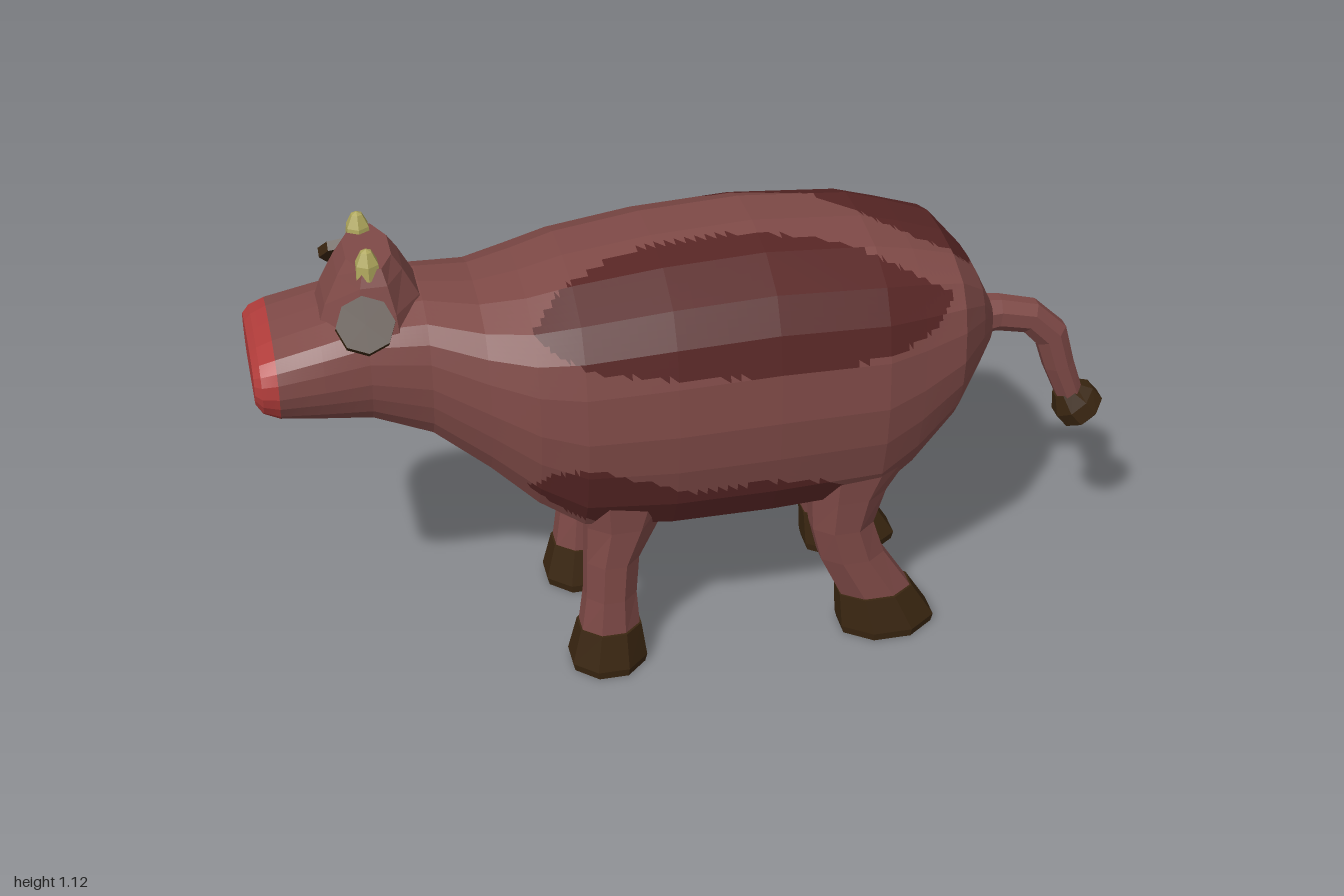
import * as THREE from 'three';

const V = (x, y, z) => new THREE.Vector3(x, y, z);

// piecewise-linear curve through [x, value] points
function along(pts, x) {
  if (x <= pts[0][0]) return pts[0][1];
  for (let i = 1; i < pts.length; i++) {
    const [x0, v0] = pts[i - 1], [x1, v1] = pts[i];
    if (x <= x1) return v0 + (v1 - v0) * (x - x0) / (x1 - x0);
  }
  return pts[pts.length - 1][1];
}

// closed, capped skin over rings; each facet is cut su x sv and sorted into material slots
function loft(rings, su = 1, sv = 1, slotOf = () => 0, slots = 1) {
  const out = Array.from({ length: slots }, () => []);
  const n = rings[0].length;
  const tri = (a, b, c) => {
    const m = a.clone().add(b).add(c).divideScalar(3);
    out[slotOf(m)].push(a.x, a.y, a.z, b.x, b.y, b.z, c.x, c.y, c.z);
  };
  for (let i = 0; i < rings.length - 1; i++) for (let j = 0; j < n; j++) {
    const k = (j + 1) % n;
    const at = (u, v) => rings[i][j].clone().lerp(rings[i + 1][j], u)
      .lerp(rings[i][k].clone().lerp(rings[i + 1][k], u), v);
    for (let p = 0; p < su; p++) for (let q = 0; q < sv; q++) {
      const a = at(p / su, q / sv), b = at((p + 1) / su, q / sv);
      const c = at(p / su, (q + 1) / sv), d = at((p + 1) / su, (q + 1) / sv);
      tri(a, b, c);
      tri(b, d, c);
    }
  }
  [rings[0], rings[rings.length - 1]].forEach((r, end) => {
    const mid = r.reduce((s, p) => s.add(p), V(0, 0, 0)).divideScalar(n);
    r.forEach((p, j) => end ? tri(mid, r[(j + 1) % n], p) : tri(mid, p, r[(j + 1) % n]));
  });
  const g = new THREE.BufferGeometry();
  g.setAttribute('position', new THREE.Float32BufferAttribute(out.flat(), 3));
  let start = 0;
  out.forEach((s, i) => { g.addGroup(start, s.length / 3, i); start += s.length / 3; });
  g.computeVertexNormals();
  return g;
}

// tube of eight-sided rings: [x, y, z, in-plane radius, z radius, heading in the xy plane]
const limb = nodes => loft(nodes.map(([x, y, z, r, rz, t]) =>
  Array.from({ length: 8 }, (_, i) => {
    const a = (i + 0.5) * Math.PI / 4, c = Math.cos(a) * r * 1.06;
    return V(x - Math.sin(t) * c, y + Math.cos(t) * c, z - Math.sin(a) * rz * 1.06);
  })));

// body stations: [x, bottom, top, half width]
const STATIONS = [
  [-1, 0.78, 0.89, 0.15], [-0.985, 0.76, 0.905, 0.165], [-0.95, 0.745, 0.92, 0.172],
  [-0.85, 0.73, 0.945, 0.17], [-0.75, 0.715, 0.97, 0.165], [-0.62, 0.66, 0.98, 0.175],
  [-0.5, 0.565, 0.965, 0.215], [-0.4, 0.475, 0.98, 0.26], [-0.3, 0.41, 1.005, 0.285],
  [-0.1, 0.393, 1.03, 0.3], [0.13, 0.393, 1.04, 0.302], [0.38, 0.4, 1.02, 0.292],
  [0.47, 0.46, 0.995, 0.265], [0.57, 0.565, 0.96, 0.235], [0.64, 0.645, 0.88, 0.15],
  [0.69, 0.67, 0.775, 0.06],
];
// half cross-section: [width share, height share] from belly to back
const PROFILE = [[0, 0], [0.72, 0.015], [0.87, 0.14], [0.96, 0.3], [1, 0.46],
  [0.98, 0.65], [0.92, 0.79], [0.78, 0.91], [0.43, 0.985], [0, 1]];
const FULL = [...PROFILE, ...PROFILE.slice(1, -1).reverse().map(([w, h]) => [-w, h])];

// outlines of the coat patches
const UPPER_LOW = [[-0.42, 0.95], [-0.36, 0.9], [-0.28, 0.86], [-0.15, 0.835], [0, 0.82], [0.27, 0.81],
  [0.42, 0.825], [0.5, 0.855], [0.57, 0.95]];
const UPPER_IN = [[-0.42, 0.22], [-0.34, 0.13], [-0.2, 0.05], [-0.08, 0.035], [0.05, 0.035],
  [0.28, 0.09], [0.38, 0.15], [0.5, 0.2]];
const LOWER_HIGH = [[-0.43, 0.55], [-0.37, 0.6], [-0.28, 0.61], [-0.18, 0.565], [-0.05, 0.51],
  [0.1, 0.52], [0.25, 0.49], [0.4, 0.4]];
const LOWER_LOW = [[-0.43, 0.55], [-0.36, 0.48], [-0.28, 0.43], [-0.2, 0.38]];
const FAR_IN = [[-0.36, -0.3], [-0.3, -0.24], [0.03, -0.235], [0.17, -0.2], [0.28, -0.14],
  [0.4, 0], [0.48, 0.055], [0.56, 0.085], [0.66, 0.09]];
const FAR_FRONT = [[0.4, -0.24], [0.5, -0.33], [0.65, -0.37], [0.85, -0.34], [1, -0.3]];
const RUMP_LOW = [[-0.2, 0.86], [-0.13, 0.83], [-0.05, 0.84], [0.06, 0.9], [0.1, 0.95]];

function coat({ x, y, z }) {
  if (x < -0.95) return 2;
  const upper = x > -0.42 && x < 0.57 && y > along(UPPER_LOW, x) && z > along(UPPER_IN, x);
  const lower = z > 0.14 && x > -0.43 && x < 0.4 && y < along(LOWER_HIGH, x) && y > along(LOWER_LOW, x);
  const far = x < 0.57
    ? z < along(FAR_IN, x) && x > along(FAR_FRONT, y) && (z < -0.19 || y > 0.8)
    : z < 0.1 && y > along(RUMP_LOW, z);
  return upper || lower || far ? 1 : 0;
}

export function createModel() {
  const mat = (name, color) => {
    const m = new THREE.MeshStandardMaterial({ color, flatShading: true });
    m.name = name;
    return m;
  };
  const hide = mat('hide', 0x7f4a47), patch = mat('patch', 0x582625);
  const muzzle = mat('muzzle', 0xb03c3a), hoofMat = mat('hoof', 0x3a2611), hornMat = mat('horn', 0xaea65c);

  const root = new THREE.Group();
  root.name = 'cow';
  const add = (name, geometry, material) => {
    const m = new THREE.Mesh(geometry, material);
    m.name = name;
    root.add(m);
    return m;
  };

  // head, neck and trunk in one skin
  const rings = STATIONS.map(([x, lo, hi, w]) => FULL.map(([fw, fh]) => V(x, lo + (hi - lo) * fh, w * fw)));
  add('body', loft(rings, 10, 5, coat, 3), [hide, patch, muzzle]);

  // raised crown between the ears
  const up = Math.PI / 2, down = -up;
  add('crown', limb([[-0.73, 0.9, 0, 0.13, 0.15, up], [-0.727, 0.98, 0, 0.105, 0.135, up],
    [-0.727, 1.045, 0, 0.072, 0.118, up], [-0.727, 1.08, 0, 0.05, 0.102, up]]), hide);

  // tail and tuft
  add('tail', limb([[0.62, 0.72, 0, 0.055, 0.055, 0], [0.72, 0.72, 0, 0.042, 0.038, -0.1],
    [0.8, 0.7, 0, 0.04, 0.036, -0.4], [0.855, 0.645, 0, 0.04, 0.036, -1],
    [0.88, 0.56, 0, 0.036, 0.036, -1.35], [0.915, 0.47, 0, 0.032, 0.034, -1.0]]), hide);
  add('tailTuft', limb([[0.9, 0.485, 0, 0.028, 0.03, -0.95], [0.925, 0.45, 0, 0.055, 0.05, -0.9],
    [0.95, 0.42, 0, 0.055, 0.055, -0.9], [0.965, 0.405, 0, 0.025, 0.03, -0.9]]), hoofMat);

  for (const s of [1, -1]) {
    const z = s * 0.17;
    // front leg
    add('frontLeg', limb([[-0.2, 0.52, z, 0.13, 0.08, down], [-0.21, 0.4, z, 0.085, 0.065, down],
      [-0.235, 0.3, z, 0.062, 0.06, down], [-0.24, 0.2, z, 0.06, 0.058, down],
      [-0.243, 0.1, z, 0.07, 0.06, down]]), hide);
    add('frontHoof', limb([[-0.243, 0.11, z, 0.073, 0.066, down], [-0.248, 0.02, z, 0.09, 0.083, down],
      [-0.248, 0, z, 0.085, 0.08, down]]), hoofMat);
    // rear leg
    add('rearLeg', limb([[0.35, 0.55, z, 0.15, 0.085, down], [0.32, 0.4, z, 0.09, 0.068, down],
      [0.31, 0.31, z, 0.074, 0.06, down], [0.335, 0.22, z, 0.077, 0.058, down],
      [0.4, 0.1, z, 0.087, 0.06, down]]), hide);
    add('rearHoof', limb([[0.395, 0.11, z, 0.09, 0.066, down], [0.425, 0.02, z, 0.115, 0.083, down],
      [0.425, 0, z, 0.11, 0.08, down]]), hoofMat);
    // ear: tilted flat disc
    const ear = add('ear', new THREE.CylinderGeometry(0.064, 0.064, 0.022, 8), hoofMat);
    ear.position.set(-0.755, 0.983, s * 0.165);
    ear.rotation.x = s * Math.PI / 4;
    // horn
    const profile = [[0.03, -0.02], [0.027, 0.012], [0.013, 0.04], [0, 0.046]];
    const horn = add('horn', new THREE.LatheGeometry(profile.map(p => new THREE.Vector2(...p)), 6), hornMat);
    horn.position.set(-0.735, 1.077, s * 0.083);
  }
  return root;
}
